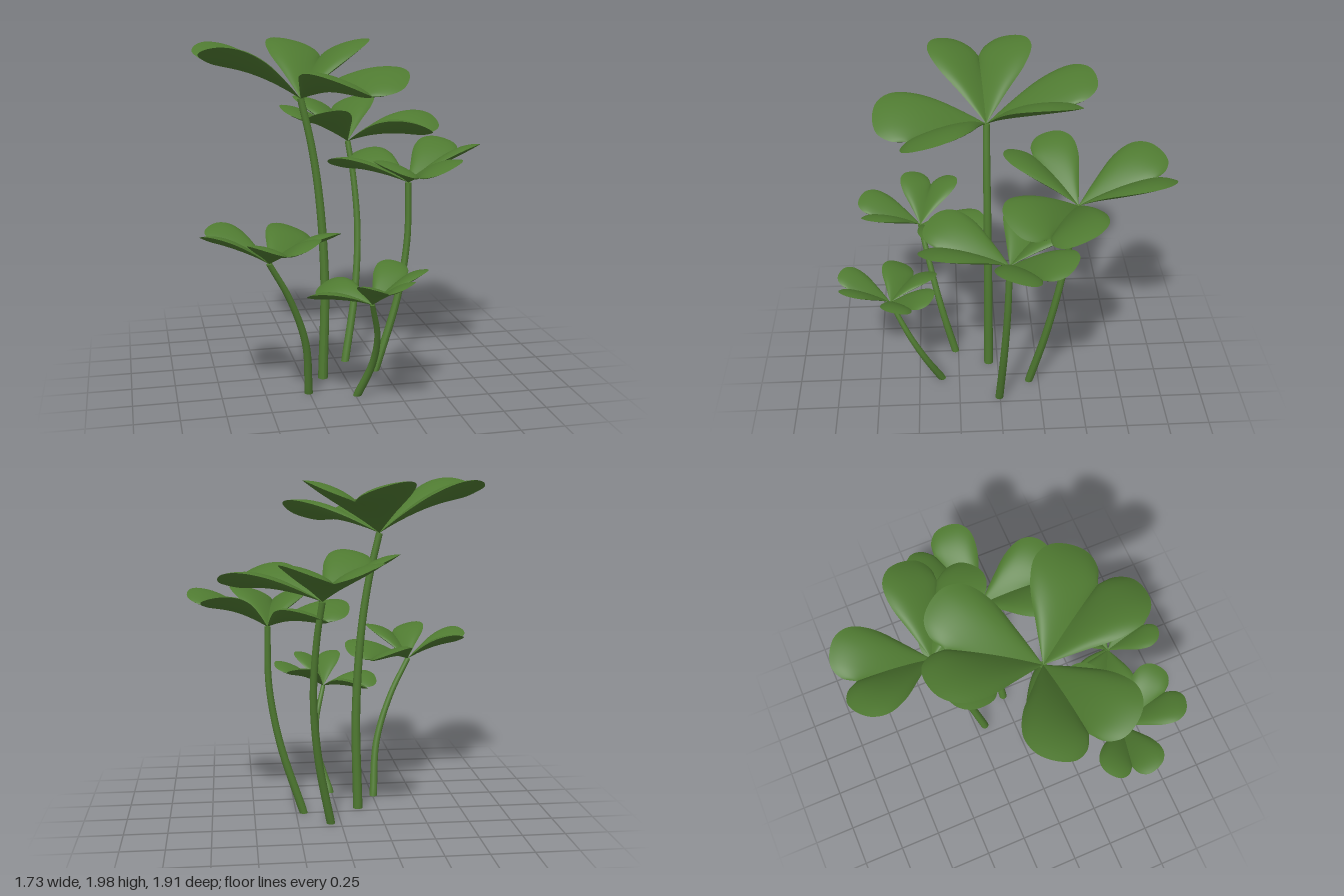
import * as THREE from 'three';

// Half of a heart outline, from the leaf base round one lobe to the notch
const OUTLINE = new THREE.CatmullRomCurve3([
  [0, 0], [0.22, 0.22], [0.45, 0.43], [0.66, 0.52], [0.83, 0.485],
  [0.95, 0.36], [1, 0.21], [0.945, 0.08], [0.82, 0],
].map(([u, v]) => new THREE.Vector3(u, 0, v)), false, 'centripetal');
const NOTCH = 0.82;

// Upper or lower skin of one plump lobe: ribs run from the midline out to the outline.
// The leaf arches along its length and folds up from the midline.
function lobeGeometry(length, rise, side, face) {
  const N = 40, M = 12, pos = [], idx = [];
  for (let i = 0; i <= N; i++) {
    const t = i / N, p = OUTLINE.getPoint(t);
    const rib = Math.hypot(p.x - NOTCH * t, p.z);
    for (let j = 0; j <= M; j++) {
      const s = j / M;
      const u = THREE.MathUtils.lerp(NOTCH * t, p.x, s), v = p.z * s;
      const arch = 0.3 * u * (1 - u);
      const fold = 0.42 * v - 0.1 * v * v;
      const puff = face * 0.09 * rib * 4 * s * (1 - s);
      pos.push(u * length, rise * u + length * (arch + fold + puff), v * length * side);
    }
  }
  for (let i = 0; i < N; i++) {
    for (let j = 0; j < M; j++) {
      const a = i * (M + 1) + j, b = a + 1, c = a + M + 1, d = c + 1;
      if (side * face > 0) idx.push(a, b, c, b, d, c);
      else idx.push(a, c, b, b, c, d);
    }
  }
  const g = new THREE.BufferGeometry();
  g.setAttribute('position', new THREE.Float32BufferAttribute(pos, 3));
  g.setIndex(idx);
  g.computeVertexNormals();
  return g;
}

// Tapered stem along a curve, cut flat at the ground
function stemGeometry(points, r0, r1) {
  const N = 40, R = 14;
  const curve = new THREE.CatmullRomCurve3(points.map(p => new THREE.Vector3(...p)));
  const g = new THREE.TubeGeometry(curve, N, r0, R, false);
  const pos = g.attributes.position, v = new THREE.Vector3();
  for (let i = 0; i <= N; i++) {
    const c = curve.getPointAt(i / N);
    const k = THREE.MathUtils.lerp(1, r1 / r0, i / N);
    for (let j = 0; j <= R; j++) {
      const n = i * (R + 1) + j;
      v.fromBufferAttribute(pos, n).sub(c).multiplyScalar(k).add(c);
      pos.setXYZ(n, v.x, i === 0 ? 0 : Math.max(0, v.y), v.z);
    }
  }
  g.computeVertexNormals();
  return g;
}

// Stem points run from ground to leaf base; leaves are [direction in degrees, length, rise]
const CLOVERS = [
  { name: 'tallClover', r: [0.029, 0.02],
    stem: [[-0.13, 0, 0.057], [-0.117, 0.6, 0.057], [-0.145, 1.08, 0.057], [-0.19, 1.4, 0.057], [-0.25, 1.67, 0.055]],
    leaves: [[177, 0.585, 0.215], [-66, 0.6, 0.215], [57, 0.635, 0.03]] },
  { name: 'backClover', r: [0.025, 0.018],
    stem: [[0.06, 0, -0.19], [0.14, 0.42, -0.275], [0.172, 0.8, -0.345], [0.157, 1.13, -0.4], [0.13, 1.345, -0.44]],
    leaves: [[-92.5, 0.515, 0.155], [26, 0.55, 0.045], [141, 0.455, 0.17]] },
  { name: 'rightClover', r: [0.025, 0.018],
    stem: [[0.205, 0, 0.005], [0.345, 0.45, -0.015], [0.405, 0.8, -0.03], [0.41, 1.147, -0.04]],
    leaves: [[97, 0.485, 0.095], [-24, 0.443, 0.15], [-140, 0.475, 0.05]] },
  { name: 'leftClover', r: [0.024, 0.016],
    stem: [[-0.255, 0, 0.27], [-0.285, 0.33, 0.35], [-0.38, 0.61, 0.415], [-0.5, 0.837, 0.467]],
    leaves: [[80, 0.372, 0.12], [194, 0.355, 0.13], [-42, 0.437, 0.035]] },
  { name: 'frontClover', r: [0.024, 0.014],
    stem: [[0.01, 0, 0.36], [0.075, 0.22, 0.455], [0.08, 0.41, 0.545], [0.025, 0.63, 0.65]],
    leaves: [[84, 0.298, 0.14], [-31, 0.32, 0.12], [209, 0.34, 0]] },
];

export function createModel() {
  const green = new THREE.MeshStandardMaterial({ color: 0x4f7a31, side: THREE.DoubleSide });
  green.name = 'cloverGreen';
  const model = new THREE.Group();
  model.name = 'cloverPatch';

  for (const { name, r, stem, leaves } of CLOVERS) {
    const clover = new THREE.Group();
    clover.name = name;

    const stalk = new THREE.Mesh(stemGeometry(stem, ...r), green);
    stalk.name = 'stem';
    clover.add(stalk);

    // Closing discs at the ground and under the leaves
    [stem[0], stem[stem.length - 1]].forEach((p, i) => {
      const cap = new THREE.Mesh(new THREE.CircleGeometry(r[i], 14), green);
      cap.name = i ? 'stemTop' : 'stemFoot';
      cap.rotation.x = i ? -Math.PI / 2 : Math.PI / 2;
      cap.position.set(...p);
      clover.add(cap);
    });

    for (const [angle, length, rise] of leaves) {
      const leaf = new THREE.Group();
      leaf.name = 'heartLeaf';
      for (const side of [1, -1]) {
        for (const face of [1, -1]) {
          const lobe = new THREE.Mesh(lobeGeometry(length, rise, side, face), green);
          lobe.name = face > 0 ? 'lobeTop' : 'lobeUnderside';
          leaf.add(lobe);
        }
      }
      leaf.position.set(...stem[stem.length - 1]);
      leaf.rotation.y = -THREE.MathUtils.degToRad(angle);
      clover.add(leaf);
    }
    model.add(clover);
  }
  return model;
}
